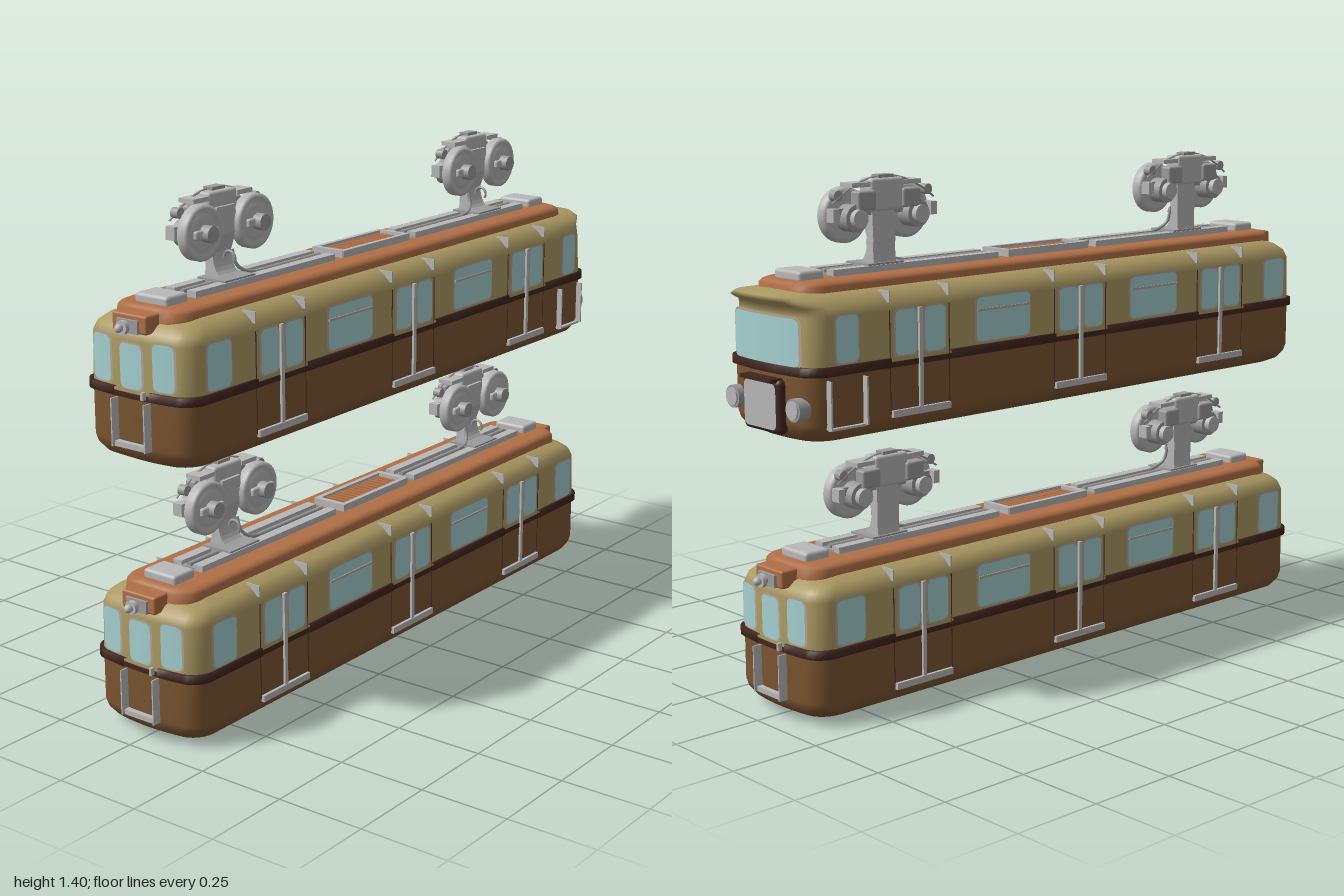
import * as THREE from 'three';
import { RoundedBoxGeometry } from 'three/addons/geometries/RoundedBoxGeometry.js';

const mat = (name, color, side = THREE.FrontSide) => {
  const m = new THREE.MeshStandardMaterial({ color, side });
  m.name = name;
  return m;
};
const DOORS = [-0.583, 0, 0.583];
const BOW = 0.02;
const endX = (z) => 0.925 + BOW * (1 - (z / 0.18) ** 2);

export function createModel() {
  const M = {
    brown: mat('brown', 0x7a5531),
    beige: mat('beige', 0xac9a63),
    stripe: mat('darkMaroon', 0x42261f, THREE.DoubleSide),
    orange: mat('copper', 0xb06f46),
    glass: mat('glass', 0xa6d0d0, THREE.DoubleSide),
    grey: mat('lightGrey', 0xb8b8b8),
    steel: mat('steel', 0x9c9c9c),
    frame: mat('windowFrame', 0xb5a596, THREE.DoubleSide),
  };
  const add = (parent, name, geo, m, x = 0, y = 0, z = 0) => {
    const mesh = new THREE.Mesh(geo, m);
    mesh.name = name;
    mesh.position.set(x, y, z);
    parent.add(mesh);
    return mesh;
  };
  const box = (p, name, m, w, h, d, x, y, z) => add(p, name, new THREE.BoxGeometry(w, h, d), m, x, y, z);
  const cylZ = (p, name, m, r, d, x, y, z) => add(p, name, new THREE.CylinderGeometry(r, r, d, 24).rotateX(Math.PI / 2), m, x, y, z);
  const cylX = (p, name, m, r, d, x, y, z) => add(p, name, new THREE.CylinderGeometry(r, r, d, 24).rotateZ(Math.PI / 2), m, x, y, z);

  // Rounded plan outline with bowed ends; second half is the first turned 180 degrees
  function plan(hx, hz, radius, bow) {
    hz = Math.max(hz, 0.0005);
    const r = Math.min(radius, hz), half = [];
    const put = (x, z) => half.push([x + bow * (1 - (z / hz) ** 2), z]);
    for (let i = 0; i <= 6; i++) {
      const a = (i / 6) * Math.PI / 2;
      put(hx - r + r * Math.sin(a), hz - r + r * Math.cos(a));
    }
    for (const f of [0.75, 0.42, 0.2, 0, -0.2, -0.42, -0.75]) put(hx, f * (hz - r));
    for (let i = 0; i <= 6; i++) {
      const a = (i / 6) * Math.PI / 2;
      put(hx - r + r * Math.cos(a), -(hz - r) - r * Math.sin(a));
    }
    for (const x of [0.683, 0.483, 0.1, -0.1, -0.483, -0.683]) half.push([x, -hz]);
    return [...half, ...half.map(([x, z]) => [-x, -z])];
  }

  // Stacks outlines; each ring is [height, inset, extra reach of the +x end]
  function loft(rings, hx = 0.925, hz = 0.18, r = 0.05, bow = BOW, skip = () => false) {
    const pos = [], idx = [];
    let n = 0;
    rings.forEach(([y, inset, ext = 0], j) => {
      const pts = plan(hx - inset, hz - inset, r, bow);
      n = pts.length;
      pts.forEach(([x, z]) => pos.push(x > 0.7 ? x + ext : x, y, z));
      if (j === 0) return;
      for (let i = 0; i < n; i++) {
        const k = (i + 1) % n;
        if (skip((pts[i][0] + pts[k][0]) / 2, (pts[i][1] + pts[k][1]) / 2)) continue;
        const a = (j - 1) * n + i, b = (j - 1) * n + k, c = j * n + k, d = j * n + i;
        idx.push(a, b, c, a, c, d);
      }
    });
    const g = new THREE.BufferGeometry();
    g.setAttribute('position', new THREE.Float32BufferAttribute(pos, 3));
    g.setIndex(idx);
    g.computeVertexNormals();
    return g;
  }

  // Thin rounded pane facing +z
  function pane(w, h, r) {
    const g = new THREE.PlaneGeometry(2, 2, 24, 1), p = g.attributes.position;
    for (let i = 0; i < p.count; i++) {
      const x = Math.sin(p.getX(i) * Math.PI / 2) * w / 2;
      const over = Math.max(0, Math.abs(x) - (w / 2 - r));
      const hh = h / 2 - r + Math.sqrt(Math.max(0, r * r - over * over));
      p.setXYZ(i, x, p.getY(i) * hh, 0);
    }
    return g;
  }
  // Pane wrapped on the bowed +x end
  function endPane(p, name, m, w, h, r, y, z, off) {
    const g = pane(w, h, r).rotateY(Math.PI / 2).translate(0, y, z), a = g.attributes.position;
    for (let i = 0; i < a.count; i++) a.setX(i, endX(a.getZ(i)) + off);
    g.computeVertexNormals();
    add(p, name, g, m);
  }
  function sideWindow(p, x, y, w, h) {
    add(p, 'windowFrame', pane(w + 0.01, h + 0.01, 0.018), M.frame, x, y, 0.182);
    add(p, 'window', pane(w, h, 0.015), M.glass, x, y, 0.1845);
  }

  // Windows, doors and roof fins of one side; s flips x for the turned far side
  function side(s, cab) {
    const g = new THREE.Group();
    g.name = 'sideFittings';
    for (const d of DOORS) {
      for (const k of [-1, 1]) {
        sideWindow(g, d + k * 0.049, 0.275, 0.07, 0.118);
        box(g, 'roofFin', M.grey, 0.004, 0.03, 0.045, d + k * 0.1, 0.37, 0.158);
        box(g, 'doorSeam', M.stripe, 0.002, 0.27, 0.002, d + k * 0.1, 0.2, 0.18);
      }
      box(g, 'doorBar', M.grey, 0.012, 0.27, 0.008, d, 0.2, 0.183);
      box(g, 'doorSill', M.grey, 0.195, 0.018, 0.012, d, 0.065, 0.183);
    }
    for (const k of [-1, 1]) {
      sideWindow(g, k * 0.293, 0.28, 0.192, 0.118);
      box(g, 'windowBar', M.frame, 0.19, 0.006, 0.004, k * 0.293, 0.305, 0.185);
      const isCab = cab && k === s;
      sideWindow(g, k * (isCab ? 0.823 : 0.827), 0.278, isCab ? 0.07 : 0.09, 0.12);
    }
    if (cab) {
      for (const x of [0.77, 0.885]) box(g, 'cabDoorFin', M.grey, 0.005, 0.125, 0.025, s * x, 0.115, 0.184);
      box(g, 'cabDoorSill', M.grey, 0.115, 0.006, 0.012, s * 0.828, 0.052, 0.184);
    }
    if (s < 0) g.rotation.y = Math.PI;
    return g;
  }

  // Plain end: two windows, a door with fins, roof bracket and coupler
  function plainEnd() {
    const g = new THREE.Group();
    g.name = 'plainEnd';
    const windows = [[-0.103, 0.064, 0.12, 0.28], [0, 0.072, 0.115, 0.272], [0.103, 0.064, 0.12, 0.28]];
    for (const [z, w, h, y] of windows) {
      endPane(g, 'endWindowFrame', M.frame, w + 0.008, h + 0.008, 0.018, y, z, 0.003);
      endPane(g, 'endWindow', M.glass, w, h, 0.016, y, z, 0.006);
    }
    for (const z of [-0.055, 0.055]) box(g, 'endDoorFin', M.grey, 0.035, 0.125, 0.004, 0.951, 0.122, z);
    box(g, 'endSill', M.grey, 0.03, 0.014, 0.11, 0.945, 0.066, 0);
    box(g, 'doorHandle', M.grey, 0.012, 0.02, 0.008, 0.955, 0.203, -0.043);
    add(g, 'roofBracket', new RoundedBoxGeometry(0.09, 0.048, 0.115, 2, 0.006), M.orange, 0.907, 0.382, 0);
    box(g, 'couplerPlate', M.steel, 0.012, 0.034, 0.07, 0.954, 0.376, 0);
    cylX(g, 'couplerShaft', M.steel, 0.009, 0.04, 0.972, 0.376, 0);
    cylX(g, 'couplerHead', M.grey, 0.018, 0.012, 0.975, 0.376, 0);
    add(g, 'couplerTip', new THREE.SphereGeometry(0.011, 16, 10), M.grey, 0.988, 0.376, 0);
    return g;
  }

  // Cab end: windscreen, framed hatch and headlights
  function cabEnd() {
    const g = new THREE.Group();
    g.name = 'cabEnd';
    endPane(g, 'windscreenFrame', M.frame, 0.282, 0.135, 0.022, 0.272, 0, 0.002);
    endPane(g, 'windscreen', M.glass, 0.27, 0.123, 0.018, 0.272, 0, 0.005);
    add(g, 'hatchFrame', new RoundedBoxGeometry(0.035, 0.142, 0.158, 3, 0.015), M.stripe, 0.945, 0.104, 0);
    const hatch = add(g, 'hatch', pane(0.135, 0.12, 0.016).rotateY(Math.PI / 2), M.grey, 0.9645, 0.104, 0);
    hatch.position.x = 0.9645;
    box(g, 'hatchHood', M.stripe, 0.045, 0.01, 0.135, 0.955, 0.172, 0);
    for (const z of [-0.13, 0.13]) {
      cylX(g, 'headlightRim', M.steel, 0.03, 0.035, 0.94, 0.105, z);
      cylX(g, 'headlight', M.grey, 0.024, 0.04, 0.942, 0.105, z);
    }
    return g;
  }

  // Equipment along the roof
  function roofGear() {
    const g = new THREE.Group();
    g.name = 'roofGear';
    for (const s of [-1, 1]) {
      add(g, 'roofBox', new RoundedBoxGeometry(0.08, 0.03, 0.11, 2, 0.009), M.grey, s * 0.832, 0.424, 0);
      box(g, 'railBed', M.steel, 0.57, 0.008, 0.1, s * 0.475, 0.418, 0);
      for (const z of [-0.036, 0.036]) box(g, 'roofRail', M.grey, 0.57, 0.018, 0.03, s * 0.475, 0.424, z);
      cylX(g, 'roofPipe', M.steel, 0.007, 0.56, s * 0.475, 0.426, 0);
    }
    box(g, 'ventBed', M.stripe, 0.29, 0.006, 0.09, 0, 0.417, 0);
    for (const s of [-1, 1]) {
      box(g, 'ventFrame', M.grey, 0.31, 0.022, 0.014, 0, 0.425, s * 0.047);
      box(g, 'ventFrame', M.grey, 0.016, 0.022, 0.1, s * 0.148, 0.425, 0);
    }
    for (let i = 0; i < 14; i++) box(g, 'ventLouvre', M.orange, 0.012, 0.01, 0.08, -0.127 + i * 0.0195, 0.424, 0);
    return g;
  }

  // Hanging truck: curved pylon, two wheels, motors and top housing
  const wheelGeo = new THREE.LatheGeometry([[0.001, -0.016], [0.062, -0.016], [0.073, -0.012], [0.073, 0.012], [0.064, 0.017],
    [0.06, 0.011], [0.046, 0.011], [0.043, 0.018], [0.001, 0.018]].map(([x, y]) => new THREE.Vector2(x, y)), 32).rotateX(Math.PI / 2);
  const pylonShape = new THREE.Shape();
  pylonShape.moveTo(0.035, 0.428);
  pylonShape.quadraticCurveTo(-0.012, 0.44, -0.014, 0.5);
  pylonShape.lineTo(0.004, 0.55);
  pylonShape.lineTo(0.004, 0.62);
  pylonShape.lineTo(-0.035, 0.62);
  pylonShape.lineTo(-0.04, 0.5);
  pylonShape.quadraticCurveTo(-0.036, 0.45, -0.045, 0.428);
  const pylonGeo = new THREE.ExtrudeGeometry(pylonShape, { depth: 0.074, bevelEnabled: false, curveSegments: 8 })
    .translate(0, 0, -0.037).rotateY(-Math.PI / 2).scale(1, 1, 1);
  function truck(s) {
    const g = new THREE.Group();
    g.name = 'hangingTruck';
    box(g, 'pylonBase', M.steel, 0.12, 0.016, 0.095, 0, 0.43, 0);
    add(g, 'pylon', pylonGeo, M.grey);
    const cable = new THREE.CatmullRomCurve3([[0.035, 0.5, -0.01], [0.04, 0.46, 0.0], [0.06, 0.442, 0.01], [0.1, 0.432, 0.01]]
      .map(([x, y, z]) => new THREE.Vector3(-s * x, y, z)));
    add(g, 'pylonCable', new THREE.TubeGeometry(cable, 12, 0.005, 6), M.steel);
    add(g, 'guideHook', new THREE.TorusGeometry(0.018, 0.004, 6, 14, Math.PI * 1.2).rotateY(Math.PI / 2), M.steel, 0, 0.485, 0.012);
    add(g, 'topHousing', new RoundedBoxGeometry(0.11, 0.085, 0.055, 2, 0.008), M.grey, 0, 0.617, -0.032);
    box(g, 'topCap', M.steel, 0.05, 0.014, 0.03, 0, 0.661, -0.036);
    for (const k of [-1, 1]) {
      const x = k * 0.103;
      add(g, 'wheel', wheelGeo, M.grey, x, 0.566, 0.003);
      cylZ(g, 'wheelHub', M.steel, 0.022, 0.03, x, 0.566, 0.034);
      add(g, 'axleBar', new RoundedBoxGeometry(0.09, 0.024, 0.014, 2, 0.006), M.grey, x, 0.566, 0.025);
      cylZ(g, 'motor', M.steel, 0.036, 0.045, x, 0.56, -0.036);
      cylZ(g, 'motorCap', M.grey, 0.024, 0.06, x, 0.56, -0.045);
      add(g, 'gearBox', new RoundedBoxGeometry(0.06, 0.05, 0.035, 2, 0.006), M.steel, k * 0.075, 0.605, -0.05);
      box(g, 'topPad', M.grey, 0.06, 0.012, 0.05, k * 0.085, 0.645, -0.03);
      cylZ(g, 'guideRoller', M.steel, 0.014, 0.024, k * 0.15, 0.62, -0.03);
      box(g, 'outerLink', M.grey, 0.02, 0.035, 0.03, k * 0.163, 0.57, -0.035);
    }
    box(g, 'truckFrame', M.steel, 0.3, 0.022, 0.016, 0, 0.575, -0.026);
    const arch = new THREE.QuadraticBezierCurve3(new THREE.Vector3(-0.17, 0.6, -0.04), new THREE.Vector3(0, 0.73, -0.04), new THREE.Vector3(0.17, 0.6, -0.04));
    add(g, 'topArch', new THREE.TubeGeometry(arch, 16, 0.003, 5), M.steel);
    g.position.x = s * 0.583;
    return g;
  }

  function car(name, cab) {
    const g = new THREE.Group();
    g.name = name;
    add(g, 'lowerBody', loft([[0.002, 0.18], [0.004, 0.1], [0.012, 0.045], [0.024, 0.02], [0.045, 0.005], [0.065, 0], [0.2, 0]]), M.brown);
    add(g, 'upperBody', loft(cab
      ? [[0.2, 0], [0.335, 0.002, -0.008], [0.358, 0.01, 0.005], [0.376, 0.03, 0.064], [0.388, 0.055, 0.09], [0.394, 0.1, 0.06], [0.396, 0.18]]
      : [[0.2, 0], [0.335, 0.002], [0.358, 0.01], [0.374, 0.028], [0.386, 0.06], [0.392, 0.1], [0.394, 0.18]]), M.beige);
    // Belt stripe steps back at the doors
    const atDoor = (x, z) => (Math.abs(z) > 0.17 && DOORS.some((d) => Math.abs(x - d) < 0.101))
      || (Math.abs(x) > 0.9 && Math.abs(z) < 0.055 && !(cab && x > 0));
    add(g, 'beltLine', loft([[0.186, -0.0005], [0.187, -0.002], [0.2, -0.002], [0.201, -0.0005]]), M.stripe);
    add(g, 'beltStripe', loft([[0.188, 0], [0.189, -0.008], [0.211, -0.008], [0.212, 0]], 0.925, 0.18, 0.05, BOW, atDoor), M.stripe);
    add(g, 'roofDeck', loft([[0.38, -0.002], [0.403, 0], [0.411, 0.006], [0.416, 0.018], [0.416, 0.12]], 0.9, 0.12, 0.06, 0.004), M.orange);
    g.add(side(1, cab), side(-1, cab), roofGear(), truck(1), truck(-1));
    const back = plainEnd();
    back.rotation.y = Math.PI;
    g.add(back, cab ? cabEnd() : plainEnd());
    return g;
  }

  const model = new THREE.Group();
  model.name = 'suspendedRailcars';
  const upper = car('upperCar', true);
  upper.position.y = 0.735;
  model.add(car('lowerCar', false), upper);
  return model;
}
